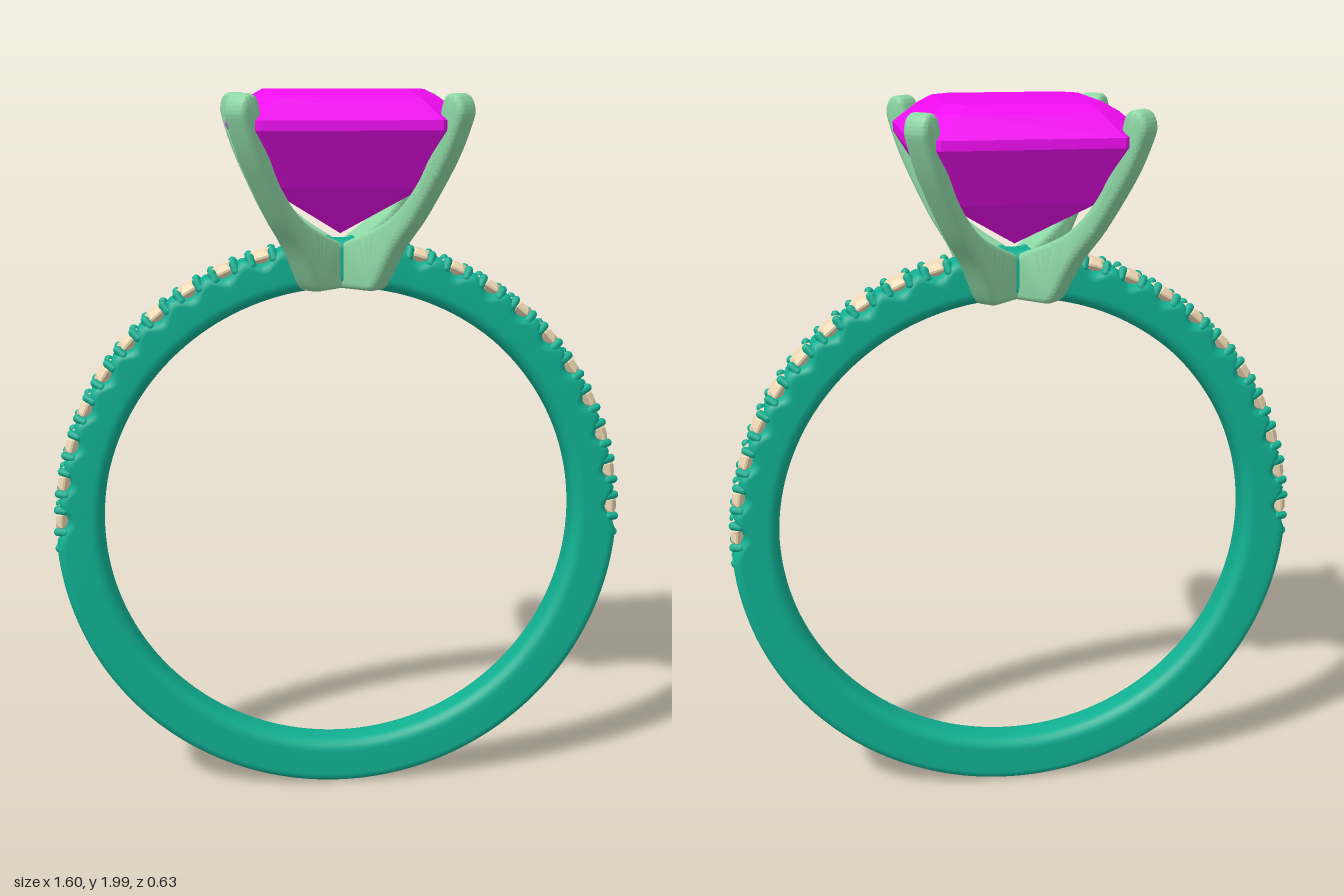
import * as THREE from 'three';
import { toCreasedNormals } from 'three/addons/utils/BufferGeometryUtils.js';

const CENTER_Y = 0.81, INNER = 0.665, OUTER = 0.8, HALF_W = 0.055;
const FIRST = 2, STEP = 8, COUNT = 11; // accent stones, in degrees above the horizontal
const rad = THREE.MathUtils.degToRad;

const metal = new THREE.MeshStandardMaterial({ color: 0x10b092 });
const headMetal = new THREE.MeshStandardMaterial({ color: 0x8dd6a4 });
const accent = new THREE.MeshStandardMaterial({ color: 0xeed9b4, flatShading: true });
const gemMat = new THREE.MeshStandardMaterial({ color: 0xf00cf0, flatShading: true });

// Skin a list of equal-length closed rings of [x, y, z] points
function loft(rings, wrap) {
  const n = rings[0].length, m = rings.length, index = [];
  for (let i = 0; i < (wrap ? m : m - 1); i++) {
    for (let j = 0; j < n; j++) {
      const i2 = (i + 1) % m, j2 = (j + 1) % n;
      const a = i * n + j, b = i2 * n + j, c = i2 * n + j2, d = i * n + j2;
      index.push(a, b, c, a, c, d);
    }
  }
  const g = new THREE.BufferGeometry();
  g.setAttribute('position', new THREE.Float32BufferAttribute(rings.flat(2), 3));
  g.setIndex(index);
  g.computeVertexNormals();
  return g;
}

function mesh(name, geometry, material) {
  const m = new THREE.Mesh(geometry, material);
  m.name = name;
  return m;
}

// Outer band radius: plain below, scalloped under each accent stone above
function outerRadius(deg) {
  const a = deg <= 90 ? deg : 180 - deg;
  if (a < FIRST - STEP / 2 || a > FIRST + STEP * (COUNT - 0.5)) return OUTER - 0.003;
  const phase = (a - FIRST) / STEP;
  const dip = Math.cos(phase * Math.PI * 2) * 0.5 + 0.5;
  return 0.79 - 0.028 * dip;
}

// Rounded rectangle cross-section swept round the finger
function bandGeometry() {
  const rings = [];
  for (let d = -90; d < 270; d++) {
    const t = rad(d), out = outerRadius(d), ring = [];
    const corners = [[1, 1, 0], [-1, 1, 90], [-1, -1, 180], [1, -1, 270]];
    for (const [sr, sz, start] of corners) {
      const c = sr > 0 ? 0.026 : 0.034;
      for (let k = 0; k <= 5; k++) {
        const a = rad(start + k * 18);
        const r = (sr > 0 ? out - c : INNER + c) + c * Math.cos(a);
        const z = sz * (HALF_W - c) + c * Math.sin(a);
        ring.push([r * Math.cos(t), r * Math.sin(t), z]);
      }
    }
    rings.push(ring);
  }
  return loft(rings, true);
}

// Cut-corner square gem, stacked from the point up to the table
function gemGeometry() {
  const levels = [[0, 1.62], [0.21, 1.755], [0.3, 1.9], [0.3, 1.925],
    [0.235, 1.98], [0.2, 2], [0, 2]];
  return loft(levels.map(([h, y]) => {
    const k = h * 0.76;
    return [[h, -k], [h, k], [k, h], [-k, h], [-h, k], [-h, -k], [-k, -h], [k, -h]]
      .map(([x, z]) => [x, y, z]);
  }), false);
}

// One claw of the setting, drawn as distance from the axis against height
function clawGeometry() {
  const v = (pts) => pts.map(([x, y]) => new THREE.Vector2(x, y));
  const s = new THREE.Shape();
  s.moveTo(-0.03, 1.475);
  s.lineTo(0.12, 1.475);
  s.splineThru(v([[0.145, 1.49], [0.205, 1.59], [0.276, 1.68], [0.365, 1.82], [0.41, 1.92],
    [0.415, 1.955], [0.402, 1.982], [0.38, 1.99], [0.358, 1.98], [0.347, 1.95],
    [0.335, 1.89], [0.275, 1.765], [0.177, 1.665], [0.02, 1.595]]));
  s.lineTo(-0.03, 1.585);
  const g = new THREE.ExtrudeGeometry(s, {
    depth: 0.04, bevelEnabled: true, bevelThickness: 0.016, bevelSize: 0.016,
    bevelOffset: -0.016, bevelSegments: 4, curveSegments: 40,
  });
  g.translate(0, 0, -0.02);
  return toCreasedNormals(g, rad(40));
}

// Small round accent stone, its table facing +x
function accentGeometry() {
  const profile = [[0, -0.035], [0.046, -0.006], [0.046, 0], [0.029, 0.014], [0, 0.014]]
    .map(([x, y]) => new THREE.Vector2(x, y));
  const g = new THREE.LatheGeometry(profile, 8, Math.PI / 8);
  return g.rotateZ(-Math.PI / 2);
}

export function createModel() {
  const model = new THREE.Group();
  model.name = 'ring';

  const band = mesh('band', bandGeometry(), metal);
  band.position.y = CENTER_Y;
  model.add(band);

  // Accent stones and their beads on both shoulders
  const stoneGeo = accentGeometry();
  const beadGeo = new THREE.CapsuleGeometry(0.012, 0.022, 4, 10).rotateZ(-Math.PI / 2);
  for (const side of [1, -1]) {
    const shoulder = new THREE.Group();
    shoulder.name = side > 0 ? 'leftShoulder' : 'rightShoulder';
    shoulder.position.y = CENTER_Y;
    const place = (item, deg, r, z) => {
      const t = rad(side > 0 ? deg : 180 - deg);
      item.position.set(r * Math.cos(t), r * Math.sin(t), z);
      item.rotation.z = t;
      shoulder.add(item);
    };
    for (let i = 0; i < COUNT; i++) {
      place(mesh('accentStone', stoneGeo, accent), FIRST + i * STEP, 0.783, 0);
    }
    for (let i = 0; i <= COUNT; i++) {
      for (const off of [-1.7, 1.7]) {
        for (const z of [-1, 1]) {
          const bead = mesh('bead', beadGeo, metal);
          place(bead, FIRST + (i - 0.5) * STEP + off, 0.78, z * 0.037);
          bead.rotation.order = 'ZYX';
          bead.rotation.y = z * 0.35; // lean in over the stones
        }
      }
    }
    model.add(shoulder);
  }

  // Four-claw setting on the diagonals
  const setting = new THREE.Group();
  setting.name = 'setting';
  const clawGeo = clawGeometry();
  for (let i = 0; i < 4; i++) {
    const claw = mesh('claw', clawGeo, headMetal);
    claw.rotation.y = Math.PI / 4 + i * Math.PI / 2;
    setting.add(claw);
  }
  model.add(setting);

  model.add(mesh('centreGem', gemGeometry(), gemMat));
  return model;
}
